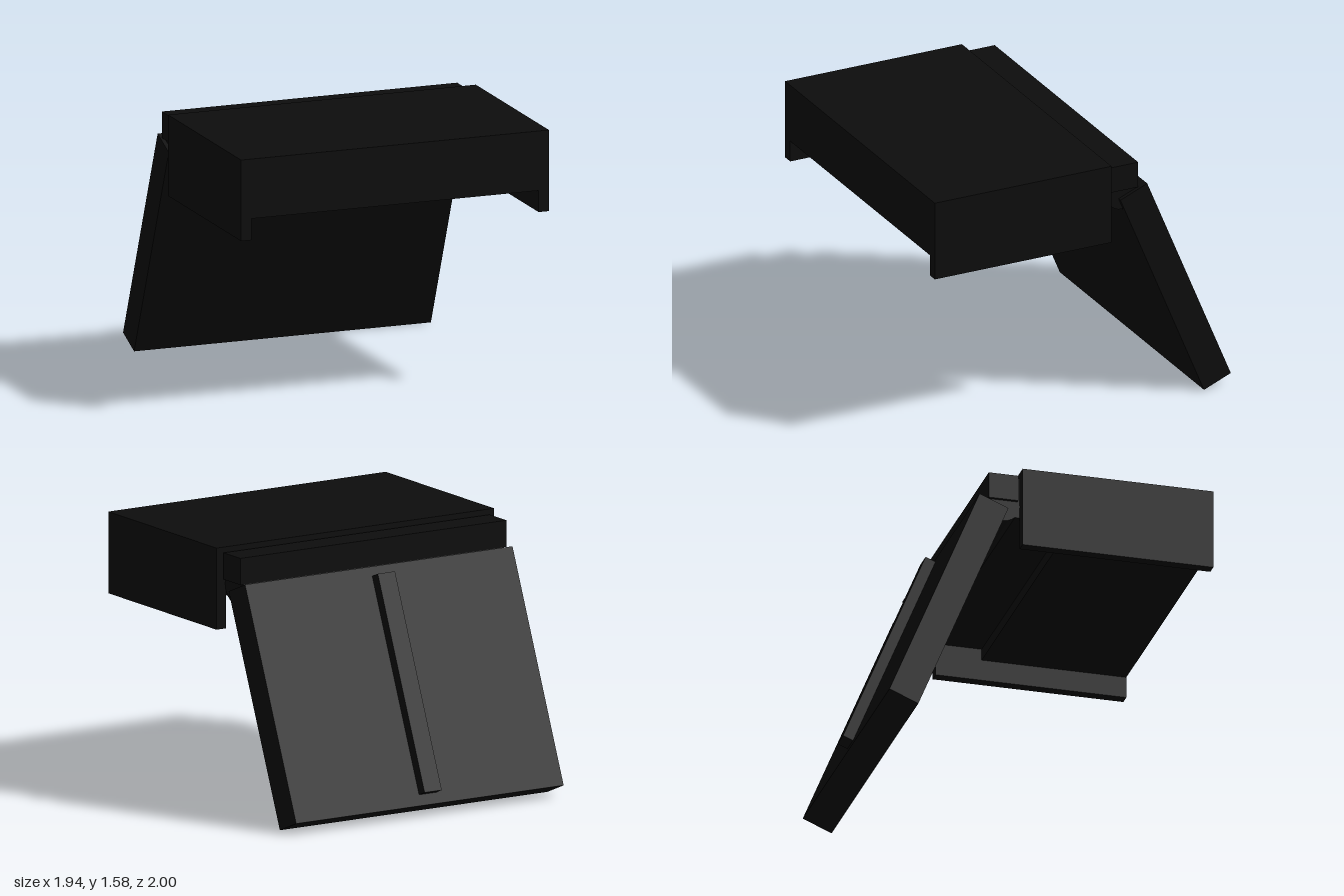
import * as THREE from 'three';

const black = new THREE.MeshStandardMaterial({ color: 0x0d0d0d });
black.name = 'matte black';

// box given by its minimum and maximum along each axis
function box(name, [x0, x1], [y0, y1], [z0, z1]) {
  const geometry = new THREE.BoxGeometry(x1 - x0, y1 - y0, z1 - z0);
  geometry.translate((x0 + x1) / 2, (y0 + y1) / 2, (z0 + z1) / 2);
  const mesh = new THREE.Mesh(geometry, black);
  mesh.name = name;
  return mesh;
}

export function createModel() {
  const model = new THREE.Group();
  model.name = 'hingedCase';

  // head: stepped body between two side walls that reach lower
  const head = new THREE.Group();
  head.name = 'head';
  const profile = new THREE.Shape([
    [-0.16, 1.29], [0.12, 1.29], [0.12, 1.22], [1, 1.22], [1, 1.58], [-0.16, 1.58],
  ].map(([z, y]) => new THREE.Vector2(-z, y)));
  const bodyGeometry = new THREE.ExtrudeGeometry(profile, { depth: 1.81, bevelEnabled: false });
  bodyGeometry.translate(0, 0, -0.905).rotateY(Math.PI / 2);
  const body = new THREE.Mesh(bodyGeometry, black);
  body.name = 'headBody';
  head.add(body);
  for (const side of [-1, 1]) {
    const xs = side > 0 ? [0.905, 0.97] : [-0.97, -0.905];
    head.add(box(side > 0 ? 'leftWall' : 'rightWall', xs, [1.09, 1.58], [-0.16, 1]));
  }
  model.add(head);

  // hinge: neck, cover block and round barrel
  const hinge = new THREE.Group();
  hinge.name = 'hinge';
  hinge.add(box('hingeNeck', [-0.905, 0.905], [1.29, 1.545], [-0.19, -0.16]));
  hinge.add(box('hingeCover', [-0.93, 0.93], [1.39, 1.55], [-0.355, -0.175]));
  const barrel = new THREE.Mesh(new THREE.CylinderGeometry(0.1, 0.1, 1.82, 24), black);
  barrel.name = 'hingeBarrel';
  barrel.rotation.z = Math.PI / 2;
  barrel.position.set(0, 1.36, -0.26);
  hinge.add(barrel);
  model.add(hinge);

  // tilted rear panel with a raised central rib
  const panel = new THREE.Group();
  panel.name = 'rearPanel';
  panel.add(box('panelSlab', [-0.935, 0.935], [0, 1.44], [-0.19, 0]));
  panel.add(box('panelRib', [-0.06, 0.06], [0.066, 1.384], [-0.255, -0.185]));
  panel.position.set(0, 0, -0.785);
  panel.rotation.x = THREE.MathUtils.degToRad(22.4);
  model.add(panel);

  return model;
}
